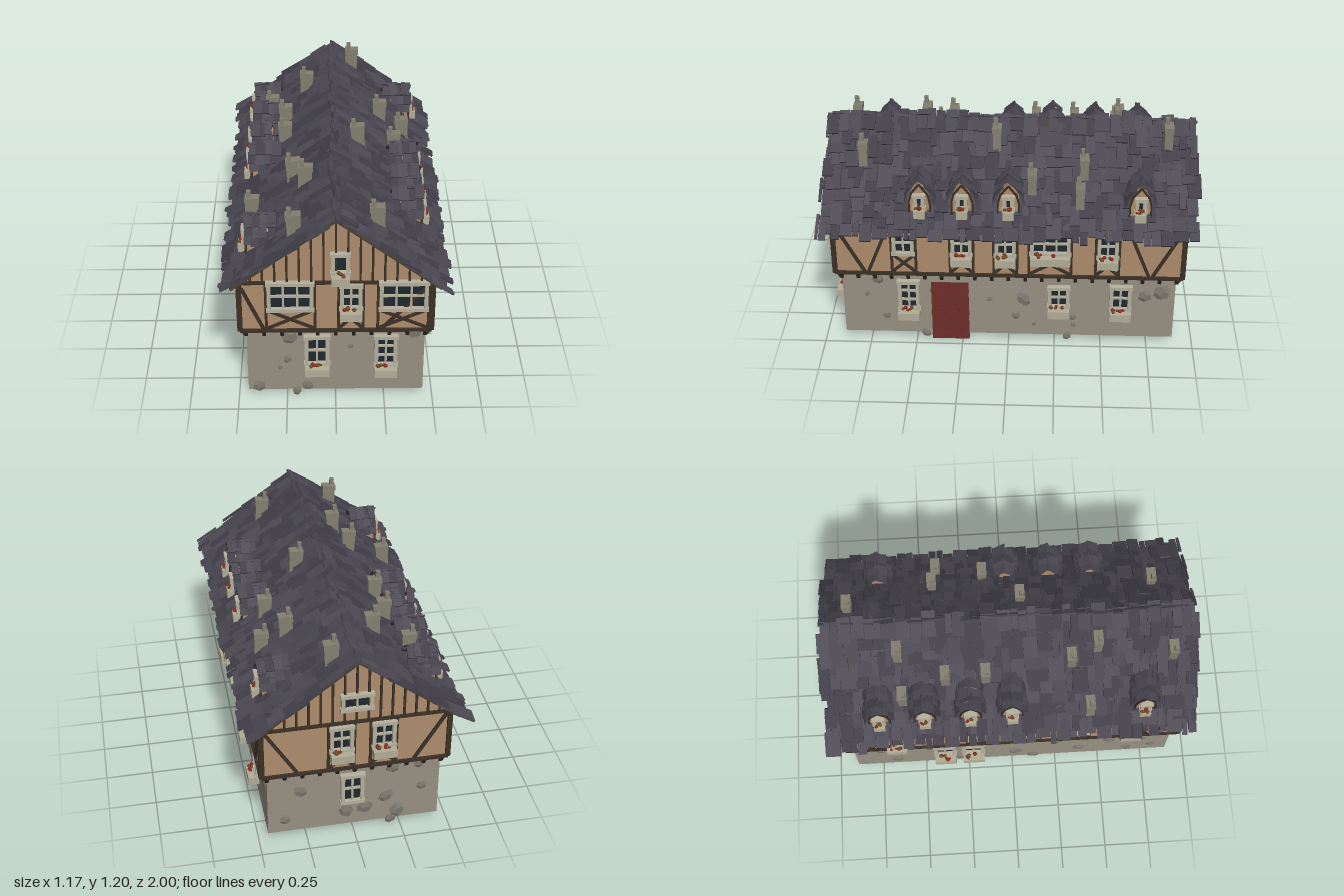
import * as THREE from 'three';
import { mergeGeometries } from 'three/addons/utils/BufferGeometryUtils.js';

let seed = 7;
const rnd = (a = 0, b = 1) => {
  seed = (seed * 16807) % 2147483647;
  return a + (b - a) * (seed / 2147483647);
};
const mat = (color, side = THREE.FrontSide) => new THREE.MeshStandardMaterial({ color, side, flatShading: true });
const M = {
  stone: mat(0x968f82, THREE.DoubleSide), plaster: mat(0xad8c6d, THREE.DoubleSide),
  timber: mat(0x3b3026), rock: mat(0x7d796f), frame: mat(0xb5b09d), glass: mat(0x1f272e),
  planter: mat(0xb2ad97), door: mat(0x6c2d2b), chimney: mat(0x827f70), rafters: mat(0x4d4032),
  flower: mat(0x8a2a22), leaf: mat(0x6f4a26),
  slate: [mat(0x4a4751), mat(0x423f49), mat(0x504c56)],
};

function mesh(parent, name, geo, material, x = 0, y = 0, z = 0) {
  const m = new THREE.Mesh(geo, material);
  m.name = name;
  m.position.set(x, y, z);
  parent.add(m);
  return m;
}
const box = (parent, name, material, w, h, d, x, y, z) =>
  mesh(parent, name, new THREE.BoxGeometry(w, h, d), material, x, y, z);

// A timber between two points, lying on a wall plane at depth z
function beam(parent, x1, y1, x2, y2, z, w = 0.016, d = 0.012) {
  const len = Math.hypot(x2 - x1, y2 - y1);
  const m = box(parent, 'timber', M.timber, len, w, d, (x1 + x2) / 2, (y1 + y2) / 2, z + d / 2);
  m.rotation.z = Math.atan2(y2 - y1, x2 - x1);
}

// Planter box with a few flowers
function planter(parent, w, y, depth) {
  box(parent, 'planter', M.planter, w, 0.045, depth, 0, y - 0.022, depth / 2 + 0.006);
  for (let i = 0; i < 6; i++) {
    const f = mesh(parent, 'flower', new THREE.IcosahedronGeometry(rnd(0.007, 0.013), 0), i % 2 ? M.flower : M.leaf,
      rnd(-0.38, 0.2) * w, y + rnd(0.004, 0.022), depth * rnd(0.45, 0.9));
    f.rotation.set(rnd(0, 3), rnd(0, 3), 0);
  }
}

function makeWindow(w, h, cols, rows, hasPlanter, planterDepth = 0.058) {
  const g = new THREE.Group(), t = 0.019;
  g.name = 'window';
  mesh(g, 'glass', new THREE.PlaneGeometry(w - t, h - t), M.glass, 0, 0, 0.005);
  for (const s of [-1, 1]) {
    box(g, 'frameSide', M.frame, t, h, 0.032, s * (w - t) / 2, 0, 0.01);
    box(g, 'frameRail', M.frame, w + 0.01, t, 0.038, 0, s * (h - t) / 2, 0.01);
  }
  for (let i = 1; i < cols; i++) box(g, 'mullion', M.frame, 0.011, h - t, 0.014, (i / cols - 0.5) * (w - t), 0, 0.01);
  for (let i = 1; i < rows; i++) box(g, 'glazingBar', M.frame, w - t, 0.011, 0.014, 0, (i / rows - 0.5) * (h - t), 0.01);
  if (hasPlanter) planter(g, w, -h / 2 + 0.004, planterDepth);
  return g;
}

// Curved little slate roof over a pointed plaster front
function makeDormer() {
  const g = new THREE.Group();
  g.name = 'dormer';
  const arch = [[0.055, 0.8], [0.054, 0.87], [0.042, 0.92], [0, 0.975]];
  const pts = [...arch, ...arch.slice(0, 3).reverse().map(([x, y]) => [-x, y])].map(p => new THREE.Vector2(...p));
  mesh(g, 'dormerFront', new THREE.ExtrudeGeometry(new THREE.Shape(pts), { depth: 0.13, bevelEnabled: false }), M.plaster, 0, 0, 0.31);
  const win = makeWindow(0.058, 0.09, 1, 1, true, 0.04);
  win.position.set(0, 0.878, 0.44);
  g.add(win);
  const edge = [[0, 1.0], [0.036, 0.958], [0.06, 0.915], [0.068, 0.87]];
  for (const s of [-1, 1]) {
    for (let i = 0; i < 3; i++) {
      beam(g, s * arch[i][0], arch[i][1], s * arch[i + 1][0], arch[i + 1][1], 0.438, 0.009);
      const [x1, y1] = edge[i], [x2, y2] = edge[i + 1];
      for (let k = 0; k < 4; k++) {
        const len = Math.hypot(x2 - x1, y2 - y1) + rnd(0.014, 0.03);
        const m = box(g, 'dormerSlate', M.slate[(i + k) % 3], len, 0.009, rnd(0.038, 0.052),
          s * ((x1 + x2) / 2 + rnd(0, 0.007)), (y1 + y2) / 2 + rnd(-0.004, 0.007), 0.43 - k * 0.038 + rnd(-0.008, 0.006));
        m.rotation.set(rnd(-0.08, 0.08), 0, s * (Math.atan2(y2 - y1, x2 - x1) + rnd(0.08, 0.2)));
      }
    }
  }
  return g;
}

// One side of the house, in its own plane: u across, y up, z outward
function makeWall(name, turn, lower, upper, gable, spec) {
  const g = new THREE.Group();
  g.name = name;
  g.rotation.y = turn;
  const [lw, ld] = lower, [uw, ud] = upper;
  mesh(g, 'stoneWall', new THREE.PlaneGeometry(2 * lw, 0.41), M.stone, 0, 0.245, ld);
  const outline = [[-uw, 0.45], [uw, 0.45], [uw, 0.75], ...(gable ? [[0, 1.12]] : []), [-uw, 0.75]];
  mesh(g, 'plasterWall', new THREE.ShapeGeometry(new THREE.Shape(outline.map(p => new THREE.Vector2(...p)))), M.plaster, 0, 0, ud);
  // Main timbers
  beam(g, -uw, 0.45, uw, 0.45, ud - 0.03, 0.018, 0.042);
  beam(g, -uw, 0.742, uw, 0.742, ud, 0.016);
  for (const s of [-1, 1]) {
    beam(g, s * (uw - 0.004), 0.45, s * (uw - 0.004), 0.75, ud - 0.012, 0.022, 0.024);
    if (gable) beam(g, s * 0.5, 0.735, 0, 1.12, ud, 0.024, 0.016);
  }
  if (gable) for (let u = -0.42; u < 0.43; u += 0.06) beam(g, u, 0.745, u, 1.115 - 0.77 * Math.abs(u), ud, 0.011);
  for (const b of spec.braces) beam(g, ...b, ud);
  // Joist ends under the overhang
  const n = Math.round(2 * lw / 0.09);
  for (let i = 0; i <= n; i++) {
    const b = box(g, 'joistEnd', M.timber, 0.018, 0.056, 0.02, -lw + (2 * lw * i) / n, 0.426, (ld + ud) / 2 + 0.003);
    b.rotation.x = 0.55;
  }
  for (const [u, y, w, h, cols, rows, hasPlanter] of spec.windows) {
    const d = y < 0.45 ? ld : ud, win = makeWindow(w, h, cols, rows, hasPlanter);
    win.position.set(u, y, d);
    g.add(win);
    if (y < 0.45 || y > 0.75) continue;
    // Studs beside and a cross below each upper window
    const e = w / 2 + 0.006, low = y - h / 2;
    for (const s of [-1, 1]) {
      beam(g, u + s * e, 0.45, u + s * e, 0.742, d, 0.014);
      beam(g, u - s * e, 0.462, u + s * e, low, d, 0.013);
    }
    beam(g, u - e, low, u + e, low, d, 0.012);
  }
  for (const [u, y, r] of spec.rocks) {
    const m = mesh(g, 'rock', new THREE.DodecahedronGeometry(r, 0), M.rock, u, y, ld);
    m.scale.set(rnd(0.85, 1.15), rnd(0.85, 1.15), 0.28);
    m.rotation.z = rnd(0, 3);
  }
  for (const u of spec.dormers || []) {
    const d = makeDormer();
    d.position.x = u;
    g.add(d);
  }
  return g;
}

// Rows of ragged slates on both slopes
const PITCH = 0.655, RIDGE = 1.135;
function makeRoof() {
  const g = new THREE.Group(), tones = [[], [], []];
  g.name = 'roof';
  const c = Math.cos(PITCH), s = Math.sin(PITCH);
  for (const side of [-1, 1]) {
    const deck = box(g, 'roofDeck', M.rafters, 0.65, 0.012, 1.93, side * 0.325 * c, RIDGE - 0.012 - 0.325 * s, 0);
    deck.rotation.z = -side * PITCH;
    for (let row = 0; row < 10; row++) {
      const end = 1 - rnd(0, 0.04);
      for (let z = -1 + rnd(0, 0.04); z < end - 0.01;) {
        const w = Math.min(rnd(0.03, 0.085), end - z), len = rnd(0.1, 0.14);
        const d = row * 0.067 + 0.036 + rnd(-0.018, 0.018), lift = rnd(0.001, 0.014);
        const geo = new THREE.BoxGeometry(len, 0.011, w - rnd(0, 0.006));
        geo.rotateX(rnd(-0.08, 0.08)).rotateY(rnd(-0.04, 0.04)).rotateZ(-side * (PITCH - rnd(0.03, 0.13)));
        geo.translate(side * (d * c + lift * s), RIDGE - d * s + lift * c, z + w / 2);
        tones[Math.floor(rnd(0, 2.999))].push(geo);
        z += w;
      }
    }
  }
  tones.forEach((list, i) => mesh(g, 'slates', mergeGeometries(list), M.slate[i]));
  return g;
}

// Plain stack, slightly wider at the top, with one small pot near its edge
function makeChimney(x, z) {
  const g = new THREE.Group(), y = RIDGE - Math.abs(x) * Math.tan(PITCH);
  g.name = 'chimney';
  g.position.set(x, y, z);
  box(g, 'stack', M.chimney, 0.07, 0.17, 0.044, 0, 0.01, 0);
  box(g, 'cap', M.chimney, 0.076, 0.03, 0.05, 0, 0.1, 0);
  box(g, 'pot', M.chimney, 0.022, 0.04, 0.022, -0.018, 0.133, 0.008);
  g.rotation.z = rnd(-0.06, 0.06);
  return g;
}

export function createModel() {
  seed = 7;
  const house = new THREE.Group();
  house.name = 'house';
  const endBraces = [-1, 1].flatMap(s => [[s * 0.9, 0.735, s * 0.76, 0.46], [s * 0.63, 0.735, s * 0.74, 0.46]]);
  const endLow = [0.45, 0.89], endUp = [0.48, 0.92], sideLow = [0.89, 0.45], sideUp = [0.92, 0.48];

  house.add(makeWall('frontWall', 0, endLow, endUp, true, {
    windows: [[-0.095, 0.305, 0.125, 0.19, 2, 2, true], [0.255, 0.3, 0.115, 0.195, 2, 3, true],
      [-0.225, 0.665, 0.23, 0.175, 3, 2, false], [0.075, 0.662, 0.11, 0.155, 2, 2, true],
      [0.335, 0.665, 0.24, 0.175, 3, 2, false], [0.022, 0.86, 0.09, 0.125, 1, 1, true]],
    rocks: [[-0.235, 0.385, 0.042], [0.395, 0.41, 0.036], [-0.245, 0.24, 0.026], [-0.285, 0.185, 0.014], [0.075, 0.32, 0.015],
      [-0.145, 0.065, 0.03], [-0.395, 0.065, 0.036], [-0.2, 0.03, 0.026]],
    braces: [[0.455, 0.72, 0.23, 0.46], [-0.465, 0.71, -0.36, 0.46]],
  }));

  const right = makeWall('rightWall', Math.PI / 2, sideLow, sideUp, false, {
    windows: [[-0.535, 0.295, 0.115, 0.19, 2, 3, true], [0.27, 0.3, 0.115, 0.14, 2, 2, true], [0.6, 0.3, 0.115, 0.16, 2, 2, true],
      [-0.55, 0.65, 0.115, 0.15, 2, 2, false], [-0.245, 0.65, 0.11, 0.15, 2, 2, true], [-0.015, 0.65, 0.11, 0.15, 2, 2, true],
      [0.22, 0.66, 0.21, 0.14, 3, 2, true], [0.52, 0.65, 0.11, 0.15, 2, 2, true]],
    rocks: [[-0.7, 0.39, 0.036], [-0.66, 0.15, 0.025], [-0.76, 0.29, 0.016], [-0.45, 0.035, 0.028], [-0.1, 0.27, 0.016],
      [0.08, 0.275, 0.043], [0.04, 0.165, 0.025], [0.14, 0.11, 0.014], [0.35, 0.16, 0.02], [0.35, 0.11, 0.017],
      [0.32, 0.035, 0.026], [0.73, 0.31, 0.039], [0.82, 0.335, 0.045]],
    braces: endBraces, dormers: [-0.46, -0.24, 0, 0.68],
  });
  // Plank door with cross battens, set into the wall
  for (let i = 0; i < 4; i++) box(right, 'doorPlank', M.door, 0.05, 0.373, 0.036, -0.39 + i * 0.0503, 0.187, 0.436);
  for (const y of [0.03, 0.175, 0.32]) box(right, 'doorBatten', M.door, 0.205, 0.018, 0.04, -0.315, y, 0.438);
  house.add(right);

  house.add(makeWall('backWall', Math.PI, endLow, endUp, true, {
    windows: [[-0.01, 0.29, 0.12, 0.19, 2, 2, false], [-0.075, 0.65, 0.12, 0.16, 2, 2, true],
      [0.14, 0.65, 0.12, 0.16, 2, 2, true], [0, 0.87, 0.16, 0.1, 2, 1, false]],
    rocks: [[-0.28, 0.3, 0.036], [0.2, 0.39, 0.042], [0.34, 0.4, 0.04], [-0.04, 0.13, 0.042], [0.06, 0.14, 0.042],
      [0.17, 0.2, 0.04], [0.23, 0.09, 0.045], [0.2, 0.04, 0.034], [0.36, 0.24, 0.03], [-0.36, 0.12, 0.028]],
    braces: [[-0.46, 0.73, -0.3, 0.46], [0.46, 0.73, 0.3, 0.46]],
  }));

  house.add(makeWall('leftWall', -Math.PI / 2, sideLow, sideUp, false, {
    windows: [[-0.38, 0.3, 0.12, 0.18, 2, 2, true], [-0.22, 0.3, 0.12, 0.18, 2, 2, true],
      ...[-0.63, -0.19, 0.09, 0.36, 0.64].map(u => [u, 0.65, 0.11, 0.15, 2, 2, Math.abs(u) > 0.5])],
    rocks: [[-0.75, 0.3, 0.036], [-0.66, 0.12, 0.036], [-0.55, 0.36, 0.03], [-0.3, 0.08, 0.034], [-0.05, 0.33, 0.036], [0.02, 0.15, 0.04],
      [0.12, 0.06, 0.036], [0.25, 0.3, 0.036], [0.38, 0.15, 0.036], [0.43, 0.37, 0.03], [0.55, 0.27, 0.036], [0.66, 0.1, 0.036],
      [0.72, 0.26, 0.04], [0.8, 0.4, 0.036], [0.8, 0.14, 0.03]],
    braces: endBraces, dormers: [-0.7, -0.46, -0.22, 0, 0.7],
  }));

  house.add(makeRoof());
  const stacks = [[0.11, -0.83], [-0.15, -0.58], [-0.34, -0.57], [-0.26, -0.34], [-0.26, -0.13], [0.26, -0.39], [0.39, -0.37],
    [0.33, -0.12], [0.13, 0.07], [-0.21, 0.32], [-0.43, 0.41], [-0.15, 0.46], [0.21, 0.77], [-0.2, 0.85]];
  for (const [x, z] of stacks) house.add(makeChimney(x, z));
  return house;
}
